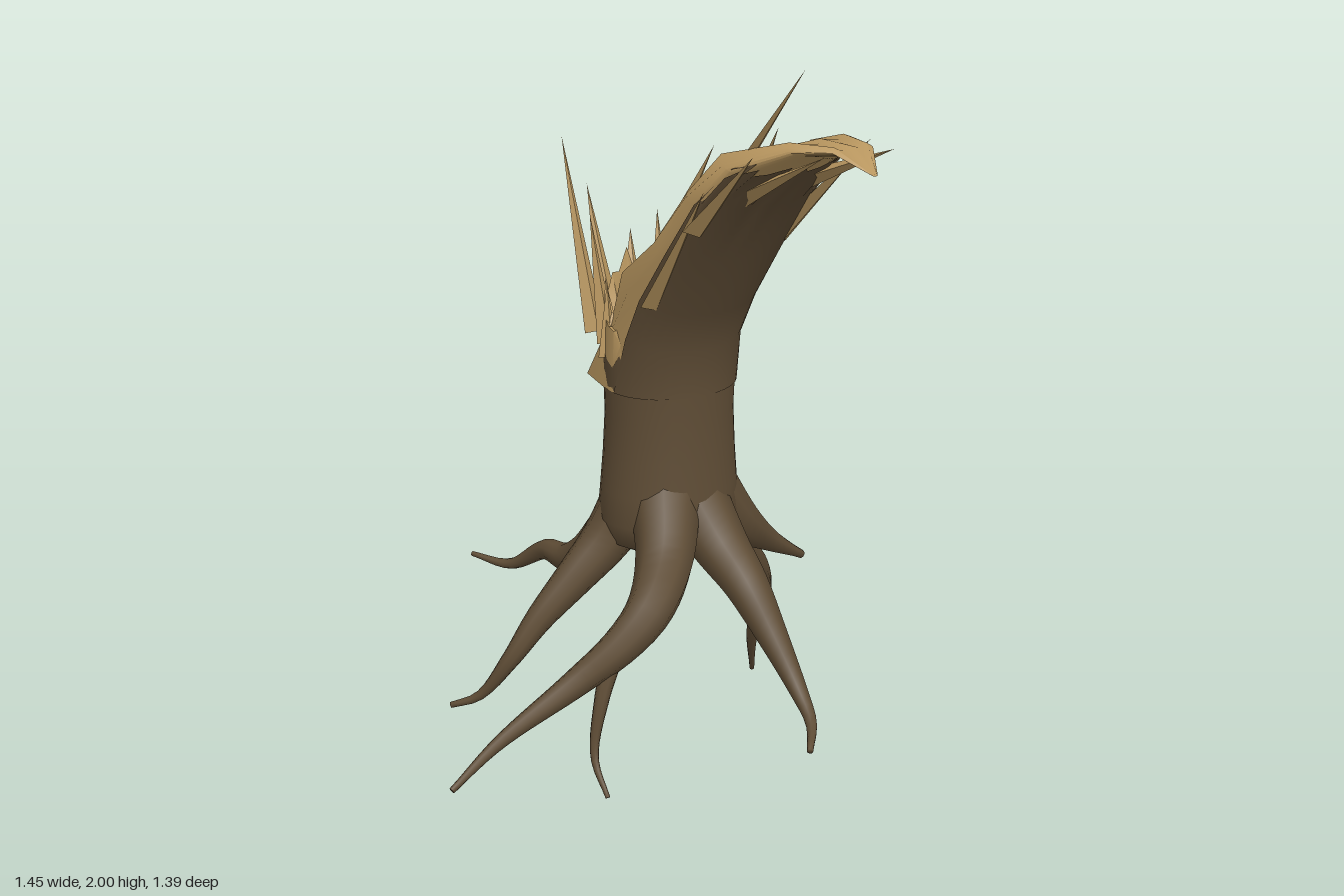
import * as THREE from 'three';
import { toCreasedNormals } from 'three/addons/utils/BufferGeometryUtils.js';

const ZC = -0.135, RX = 0.155, RZ = 0.178, SIDES = 36;
const V = (x, y, z) => new THREE.Vector3(x, y, z);

// Skin a list of rings (each an array of Vector3, counterclockwise about the travel direction)
function loft(rings, closed = true) {
  const n = rings[0].length, index = [];
  const pos = rings.flat().flatMap(p => [p.x, p.y, p.z]);
  for (let i = 0; i < rings.length - 1; i++) {
    for (let j = 0; j < (closed ? n : n - 1); j++) {
      const k = (j + 1) % n, a = i * n, b = a + n;
      index.push(a + j, a + k, b + k, a + j, b + k, b + j);
    }
  }
  const g = new THREE.BufferGeometry();
  g.setAttribute('position', new THREE.Float32BufferAttribute(pos, 3));
  g.setIndex(index);
  g.computeVertexNormals();
  return g;
}

// Ring around the trunk axis; y may depend on the angle
function trunkRing(scale, y) {
  return Array.from({ length: SIDES }, (_, j) => {
    const a = j / SIDES * Math.PI * 2;
    return V(RX * scale * Math.cos(a), typeof y === 'function' ? y(a, j) : y, ZC - RZ * scale * Math.sin(a));
  });
}

// Tapered bent root through a few points
function root(points, r0, r1) {
  const curve = new THREE.CatmullRomCurve3(points.map(p => V(...p)));
  const steps = points.length * 4, frames = curve.computeFrenetFrames(steps);
  const rings = [];
  for (let i = 0; i <= steps; i++) {
    const t = i / steps, c = curve.getPointAt(t);
    const r = r1 + (r0 - r1) * Math.pow(1 - t, 1.25);
    rings.push(Array.from({ length: 9 }, (_, j) => {
      const a = j / 9 * Math.PI * 2;
      return c.clone().addScaledVector(frames.normals[i], r * Math.cos(a))
        .addScaledVector(frames.binormals[i], r * Math.sin(a));
    }));
  }
  const end = curve.getPointAt(1);
  rings.push(rings[0].map(() => end.clone()));
  return loft(rings);
}

// Leaning limb stations: outer point, upper point, half width, centre z
const LIMB = [
  [0.155, 1.1, -0.155, 1.1, 0.178, -0.135],
  [0.157, 1.22, -0.07, 1.28, 0.172, -0.135],
  [0.21, 1.33, 0.0, 1.4, 0.174, -0.135],
  [0.30, 1.49, 0.12, 1.51, 0.178, -0.137],
  [0.40, 1.64, 0.25, 1.66, 0.178, -0.14],
  [0.48, 1.73, 0.37, 1.77, 0.165, -0.145],
  [0.57, 1.785, 0.52, 1.82, 0.10, -0.165],
  [0.65, 1.80, 0.63, 1.82, 0.06, -0.175],
  [0.72, 1.765, 0.715, 1.77, 0.008, -0.175],
];
const limbPoint = ([ox, oy, ux, uy, w, zc], f, s) => V(ox + (ux - ox) * f, oy + (uy - oy) * f, zc + w * s);

// Lower half of a limb section, from front edge round to back edge
function limbArc(station, inset) {
  return Array.from({ length: 17 }, (_, j) => {
    const p = (j / 16 - 0.5) * Math.PI;
    return limbPoint(station, 0.48 * (1 - Math.cos(p)) + inset, -Math.sin(p) * (inset ? 0.99 : 1));
  });
}

export function createModel() {
  const bark = new THREE.MeshStandardMaterial({ color: 0x5e4c35, side: THREE.DoubleSide });
  bark.name = 'bark';
  const wood = new THREE.MeshStandardMaterial({ color: 0xb8965f, side: THREE.DoubleSide });
  wood.name = 'splintered wood';
  const model = new THREE.Group();
  model.name = 'brokenTree';
  const add = (name, geometry, material) => {
    const m = new THREE.Mesh(geometry, material);
    m.name = name;
    model.add(m);
    return m;
  };

  // Trunk with a rounded underside and a ragged bark rim, higher on the broken side
  const left = a => Math.max(0, -Math.cos(a));
  const rim = (a, j) => 1.18 + 0.14 * left(a) ** 3 + 0.022 * Math.sin(j * 2.3);
  add('trunk', loft([
    trunkRing(0.01, 0.665), trunkRing(0.65, 0.66), trunkRing(0.98, 0.69), trunkRing(1.08, 0.75),
    trunkRing(1.04, 0.83), trunkRing(1, 0.92), trunkRing(0.97, 1.03), trunkRing(0.99, 1.12), trunkRing(1, rim),
  ]), bark);

  // Jagged wooden crown with a hollow inside
  const peak = (a, j) => 1.24 + 0.12 * left(a) + (j % 2 ? 0.05 * left(a) : 0) + 0.02 * Math.sin(j * 1.7);
  add('crown', toCreasedNormals(loft([
    trunkRing(0.985, (a, j) => rim(a, j) - 0.05), trunkRing(0.99, rim), trunkRing(0.97, peak),
    trunkRing(0.8, (a, j) => 1.26 + 0.03 * Math.sin(j * 2.1)), trunkRing(0.4, 1.24), trunkRing(0.01, 1.23),
  ]), 0.7), wood);

  // Leaning half log: bark shell with a ragged end
  const shell = LIMB.slice(0, 6).map(s => limbArc(s, 0));
  const next = limbArc(LIMB[6], 0);
  shell[5].forEach((p, j) => p.lerp(next[j], [0.1, 0.45, -0.2, 0.3, 0][j % 5]));
  add('limbBark', loft(shell, false), bark);

  // Exposed wood of the half log, ridged on top and drawn out to a tip
  const ridges = [[-0.96, 0.7], [-0.8, 0.98], [-0.58, 0.76], [-0.3, 0.72], [-0.1, 0.9], [0.05, 0.72],
    [0.4, 0.66], [0.62, 0.8], [0.8, 1.0], [0.96, 0.72]];
  const core = LIMB.map((s, i) => [
    ...limbArc(s, 0.035),
    ...ridges.map(([z, f], j) => limbPoint(s, f + 0.06 * Math.sin(i * 2.4 + j * 1.9), z)),
  ]);
  add('limbWood', toCreasedNormals(loft(core), 0.7), wood);

  // Splinters: base, tip, half width
  const splinters = [
    [[-0.14, 1.22, 0.0], [-0.225, 1.715, 0.04], 0.03],
    [[-0.15, 1.27, -0.05], [-0.232, 1.58, -0.04], 0.03],
    [[-0.14, 1.25, -0.12], [-0.21, 1.45, -0.16], 0.04],
    [[-0.10, 1.2, -0.01], [-0.13, 1.53, 0.02], 0.03],
    [[-0.13, 1.24, -0.2], [-0.175, 1.5, -0.22], 0.035],
    [[-0.09, 1.2, -0.26], [-0.11, 1.4, -0.25], 0.035],
    [[-0.05, 1.18, 0.02], [-0.055, 1.37, 0.02], 0.03],
    [[0.24, 1.56, -0.05], [0.605, 2.0, -0.06], 0.035],
    [[0.08, 1.42, -0.02], [0.275, 1.77, -0.06], 0.04],
    [[0.18, 1.5, -0.2], [0.39, 1.82, -0.16], 0.04],
    [[0.24, 1.5, -0.27], [0.53, 1.8, -0.325], 0.045],
    [[0.38, 1.68, -0.24], [0.70, 1.815, -0.245], 0.045],
    [[0.36, 1.65, -0.06], [0.63, 1.8, -0.1], 0.045],
    [[0.14, 1.36, 0.02], [0.375, 1.69, 0.045], 0.035],
    [[0.3, 1.58, 0.01], [0.5, 1.79, 0.0], 0.04],
    [[-0.04, 1.33, -0.13], [0.44, 1.74, -0.17], 0.06],
    [[-0.05, 1.34, -0.26], [0.32, 1.66, -0.3], 0.045],
  ];
  splinters.forEach(([b, t, w]) => {
    const base = V(...b), dir = V(...t).sub(base), len = dir.length();
    const g = new THREE.ConeGeometry(w, len, 4).toNonIndexed();
    g.scale(0.55, 1, 1).translate(0, len / 2, 0);
    g.computeVertexNormals();
    const m = add('splinter', g, wood);
    m.position.copy(base);
    m.quaternion.setFromUnitVectors(V(0, 1, 0), dir.normalize());
  });

  // Roots, each starting inside the trunk
  const roots = {
    rightRoot: [[[-0.05, 0.82, -0.13], [-0.15, 0.70, -0.13], [-0.24, 0.61, -0.11], [-0.32, 0.53, -0.095],
      [-0.4, 0.485, -0.08], [-0.5, 0.475, -0.075], [-0.62, 0.4, -0.03], [-0.725, 0.41, 0.03]], 0.1, 0.007],
    frontRightRoot: [[[-0.03, 0.84, -0.08], [-0.05, 0.69, 0.02], [-0.055, 0.6, 0.12], [-0.065, 0.5, 0.23],
      [-0.08, 0.4, 0.31], [-0.14, 0.29, 0.37], [-0.19, 0.26, 0.425]], 0.09, 0.008],
    frontLeftRoot: [[[0.06, 0.82, -0.08], [0.17, 0.69, 0.0], [0.255, 0.61, 0.11], [0.26, 0.54, 0.2],
      [0.235, 0.46, 0.32], [0.23, 0.36, 0.54], [0.25, 0.285, 0.685]], 0.095, 0.008],
    frontLeftRootlet: [[[0.25, 0.53, 0.21], [0.265, 0.41, 0.26], [0.285, 0.27, 0.295], [0.35, 0.19, 0.3]], 0.028, 0.006],
    backRightRoot: [[[-0.01, 0.84, -0.2], [-0.03, 0.68, -0.3], [-0.08, 0.55, -0.41], [-0.12, 0.45, -0.51],
      [-0.19, 0.32, -0.6], [-0.27, 0.15, -0.635], [-0.337, 0.005, -0.69]], 0.1, 0.007],
    backRoot: [[[0.04, 0.82, -0.2], [0.055, 0.69, -0.32], [0.035, 0.6, -0.44], [0.02, 0.52, -0.57]], 0.1, 0.012],
    leftRoot: [[[0.05, 0.82, -0.15], [0.18, 0.69, -0.17], [0.28, 0.62, -0.175], [0.37, 0.52, -0.185],
      [0.48, 0.4, -0.19], [0.56, 0.345, -0.17], [0.63, 0.315, -0.11]], 0.1, 0.008],
  };
  for (const [name, [points, r0, r1]] of Object.entries(roots)) add(name, root(points, r0, r1), bark);
  return model;
}
